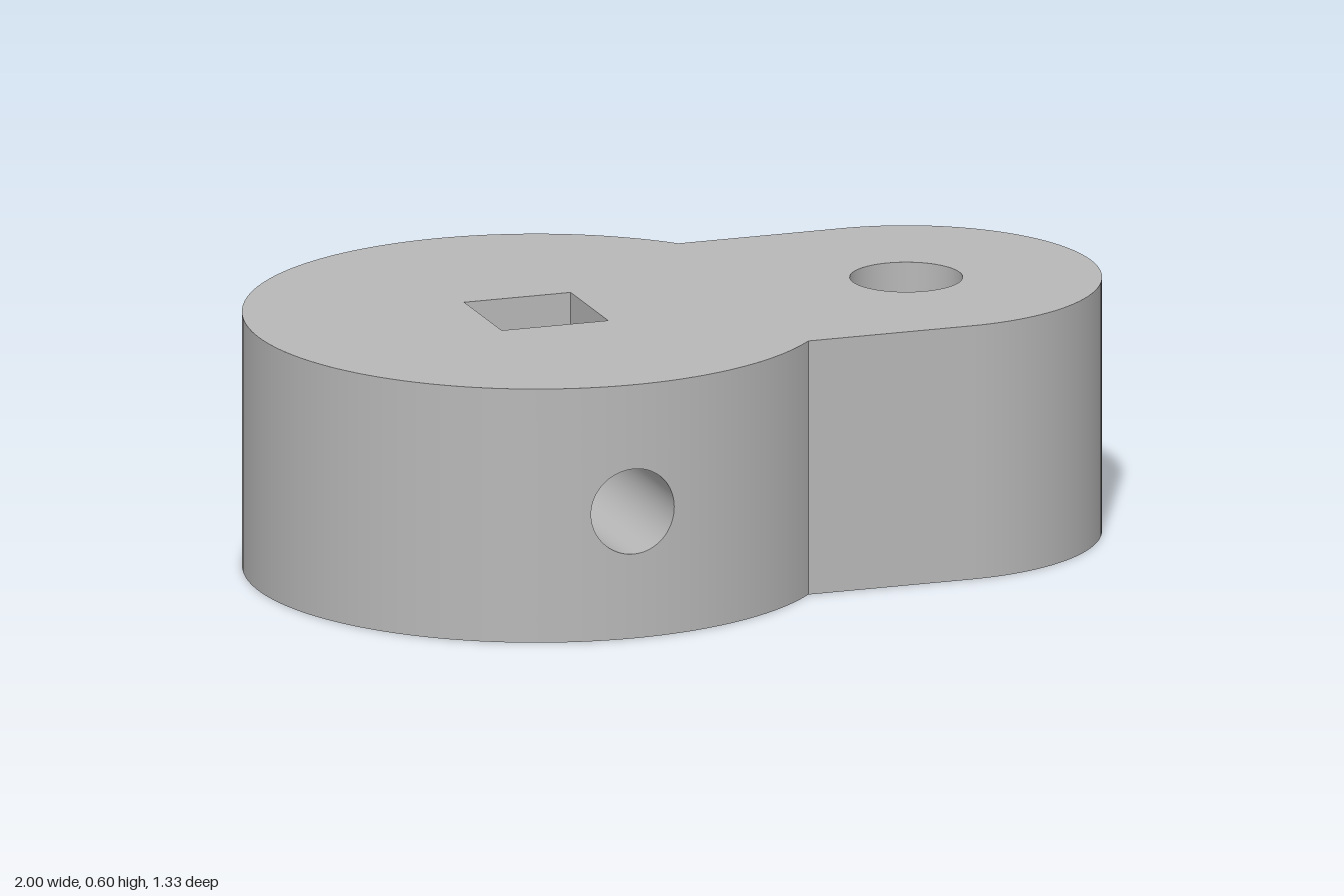
import * as THREE from 'three';

const H = 0.596, MID = H / 2;          // thickness and mid height
const R = 0.667, CX = -0.333;          // large lobe
const r = 0.444, SX = 0.556;           // small lobe
const Q = 0.128;                       // half side of square bore, radius of round bore
const S = 0.1;                         // side hole radius
const JOIN = Math.acos(r / R);         // angle from +z where the flat flank meets the large lobe
const PATCH = MID / R;                 // half angle of the wall patch around the side hole

// Surface over u (around) and v, from fn(u, v) -> [x, y, z, nx, ny, nz]
function loft(nu, nv, fn) {
  const pos = [], nor = [], idx = [];
  for (let i = 0; i <= nu; i++) for (let j = 0; j <= nv; j++) {
    const p = fn(i / nu, j / nv);
    pos.push(...p.slice(0, 3));
    nor.push(...p.slice(3));
    if (i < nu && j < nv) {
      const a = i * (nv + 1) + j, b = a + nv + 1;
      idx.push(a, a + 1, b + 1, a, b + 1, b);
    }
  }
  const g = new THREE.BufferGeometry();
  g.setAttribute('position', new THREE.Float32BufferAttribute(pos, 3));
  g.setAttribute('normal', new THREE.Float32BufferAttribute(nor, 3));
  g.setIndex(idx);
  return g;
}

// Upright open arc wall, angles measured from +z towards +x
const arc = (radius, x, from, to) =>
  new THREE.CylinderGeometry(radius, radius, H, Math.ceil((to - from) * 24), 1, true, from, to - from)
    .translate(x, MID, 0);

// Turn a surface inside out
function inward(g) {
  g.index.array.reverse();
  const n = g.attributes.normal.array;
  for (let i = 0; i < n.length; i++) n[i] = -n[i];
  return g;
}

function outline() {
  const s = new THREE.Shape();
  const a = Math.PI / 2 - JOIN;
  s.absarc(CX, 0, R, a, Math.PI * 2 - a, false);
  s.absarc(SX, 0, r, -Math.PI / 2, Math.PI / 2, false);
  s.closePath();
  const square = new THREE.Path();
  square.moveTo(CX - Q, -Q).lineTo(CX - Q, Q).lineTo(CX + Q, Q).lineTo(CX + Q, -Q).closePath();
  const round = new THREE.Path();
  round.absarc(SX, 0, Q, 0, Math.PI * 2, true);
  s.holes.push(square, round);
  return s;
}

export function createModel() {
  const model = new THREE.Group();
  model.name = 'crankLink';
  const steel = new THREE.MeshStandardMaterial({ color: 0xb8b8b8 });
  steel.name = 'grey steel';
  const add = (name, g) => {
    const m = new THREE.Mesh(g, steel);
    m.name = name;
    model.add(m);
  };

  // Flat faces
  add('topFace', new THREE.ShapeGeometry(outline(), 72).rotateX(-Math.PI / 2).translate(0, H, 0));
  add('bottomFace', new THREE.ShapeGeometry(outline(), 72).rotateX(Math.PI / 2));

  // Outer walls
  add('largeLobeWall', arc(R, CX, Math.PI - JOIN, Math.PI * 2 - PATCH));
  add('largeLobeFrontWall', arc(R, CX, PATCH, JOIN));
  add('smallLobeWall', arc(r, SX, 0, Math.PI));
  const x0 = CX + R * Math.sin(JOIN);
  for (const [name, turn] of [['frontFlank', 0], ['backFlank', Math.PI]]) {
    add(name, new THREE.PlaneGeometry(SX - x0, H).translate(0, 0, r).rotateY(turn)
      .translate((SX + x0) / 2, MID, 0));
  }

  // Curved wall patch running from the side hole's rim to a square border
  add('pierced wall', loft(80, 8, (u, v) => {
    const t = u * Math.PI * 2, c = Math.cos(t), s = Math.sin(t);
    const k = MID / Math.max(Math.abs(c), Math.abs(s));
    const th = THREE.MathUtils.lerp(Math.asin(S * c / R), k * c / R, v);
    const y = MID + THREE.MathUtils.lerp(S * s, k * s, v);
    return [CX + R * Math.sin(th), y, R * Math.cos(th), Math.sin(th), 0, Math.cos(th)];
  }));

  // Side hole, from the square bore out to the curved wall
  add('sideHole', loft(80, 1, (u, v) => {
    const t = u * Math.PI * 2, c = Math.cos(t), s = Math.sin(t);
    const z = v ? Math.sqrt(R * R - S * S * c * c) : Q;
    return [CX + S * c, MID + S * s, z, -c, -s, 0];
  }));

  // Round bore
  add('roundBore', inward(arc(Q, SX, 0, Math.PI * 2 - 1e-6)));

  // Square bore: three plain walls and one pierced by the side hole
  for (let i = 0; i < 4; i++) {
    const wall = new THREE.Shape();
    wall.moveTo(-Q, -MID).lineTo(Q, -MID).lineTo(Q, MID).lineTo(-Q, MID).closePath();
    if (i === 2) wall.holes.push(new THREE.Path().absarc(0, 0, S, 0, Math.PI * 2, true));
    add('squareBoreWall', new THREE.ShapeGeometry(wall, 40).translate(0, 0, -Q)
      .rotateY(i * Math.PI / 2).translate(CX, MID, 0));
  }
  return model;
}
